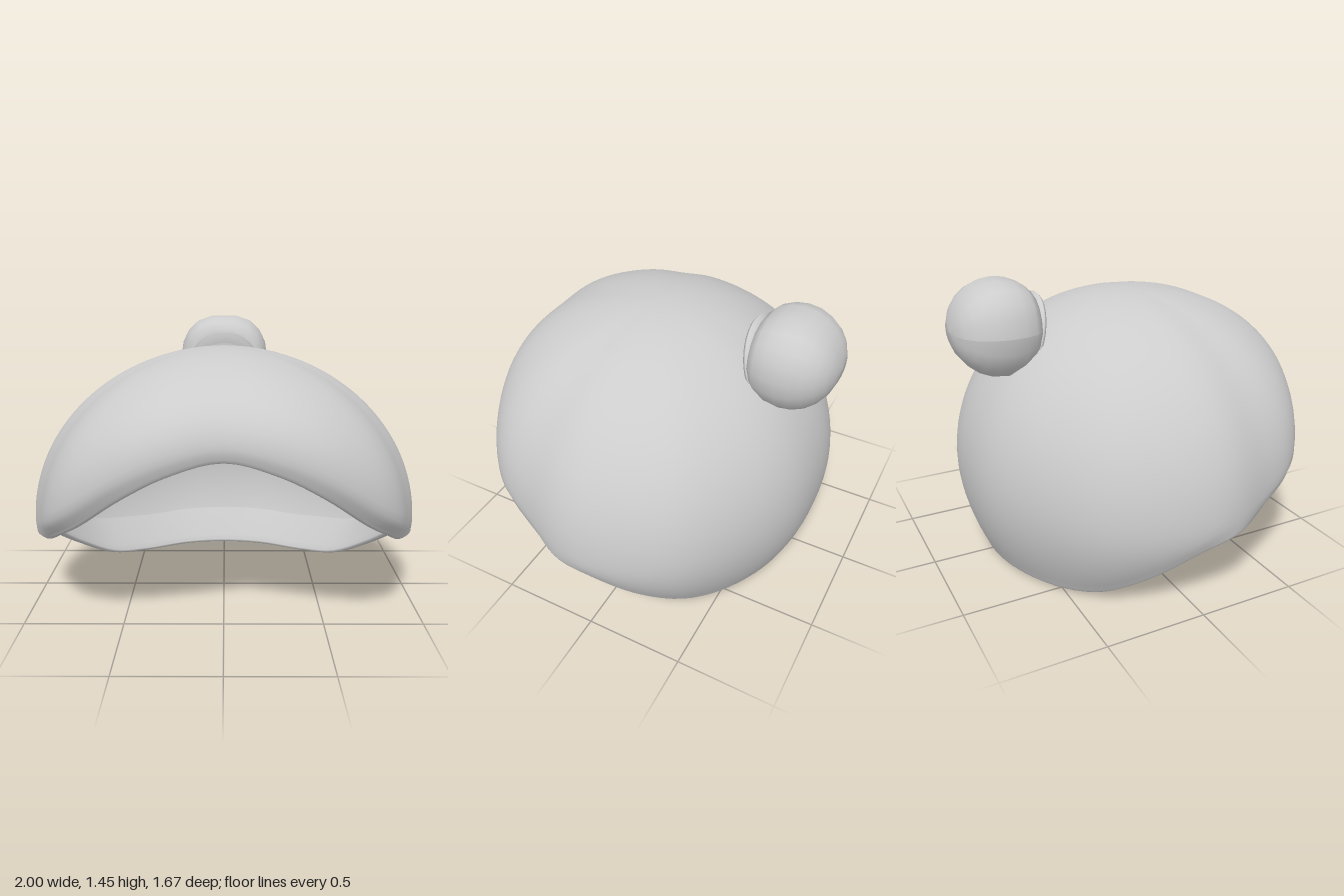
import * as THREE from 'three';

const V = (x, y, z) => new THREE.Vector3(x, y, z);

// Half outlines from front centre, round the left side, to back centre.
// Widest line of the cap:
const WIDEST = [
  [0, 0.96, 0.815], [0.25, 0.92, 0.83], [0.48, 0.82, 0.8], [0.72, 0.66, 0.695],
  [0.84, 0.56, 0.575], [0.92, 0.48, 0.38], [0.99, 0.44, 0.18], [0.995, 0.42, 0.02],
  [0.925, 0.42, -0.23], [0.79, 0.44, -0.45], [0.5, 0.46, -0.67], [0.25, 0.46, -0.775], [0, 0.46, -0.8],
];
// Lower rim of the cap:
const RIM = [
  [0, 0.925, 0.805], [0.25, 0.865, 0.815], [0.46, 0.755, 0.78], [0.69, 0.585, 0.665],
  [0.81, 0.5, 0.545], [0.9, 0.42, 0.37], [0.985, 0.38, 0.18], [0.965, 0.32, 0],
  [0.86, 0.185, -0.2], [0.69, 0.06, -0.38], [0.5, 0.022, -0.53], [0.25, 0.02, -0.655], [0, 0.02, -0.695],
];
const APEX = V(0, 1.34, 0.1);

// Mirror a half outline into a closed smooth loop
function loop(half) {
  const mirrored = half.slice(1, -1).reverse().map(([x, y, z]) => [-x, y, z]);
  return new THREE.CatmullRomCurve3([...half, ...mirrored].map(p => V(...p)), true);
}

// Line from the apex over the widest point down to the rim
function meridian(e, r) {
  const curve = new THREE.Curve();
  curve.getPoint = (t, target = V(0, 0, 0)) => {
    if (t < 0.75) {
      const a = (t / 0.75) * Math.PI / 2, s = Math.sin(a);
      return target.set(
        APEX.x + (e.x - APEX.x) * s,
        e.y + (APEX.y - e.y) * Math.cos(a),
        APEX.z + (e.z - APEX.z) * s);
    }
    const u = (t - 0.75) / 0.25;
    return target.set(
      e.x + (r.x - e.x) * u * u,
      e.y + (r.y - e.y) * u,
      e.z + (r.z - e.z) * u * u);
  };
  return curve;
}

// Shell, rolled rim and inner lip as one grid of rows and columns
function capGeometry() {
  const cols = 110, shellRows = 36, rollRows = 6, lipRows = 6, width = 0.045, lip = 0.2;
  const widest = loop(WIDEST), rim = loop(RIM);
  const positions = [], index = [];
  let rows = 0;
  for (let j = 0; j < cols; j++) {
    const e = widest.getPoint(j / cols), r = rim.getPoint(j / cols);
    const line = meridian(e, r), length = line.getLength();
    const inward = V(-r.x, 0, 0.05 - r.z).normalize();
    const column = [];
    for (let i = 0; i <= shellRows; i++) column.push(line.getPointAt(i / shellRows));
    // rounded edge
    for (let i = 1; i <= rollRows; i++) {
      const a = (i / rollRows) * Math.PI;
      const p = r.clone().addScaledVector(inward, width * (1 - Math.cos(a)) / 2);
      p.y -= 0.02 * Math.sin(a);
      column.push(p);
    }
    // lip running back up inside, closing in on the shell
    for (let i = 1; i <= lipRows; i++) {
      const k = i / lipRows;
      const p = line.getPointAt(1 - lip * k / length);
      column.push(p.addScaledVector(inward, width * (1 - 0.6 * k * k)));
    }
    rows = column.length;
    column.forEach(p => positions.push(p.x, p.y, p.z));
  }
  for (let j = 0; j < cols; j++) {
    const here = j * rows, next = ((j + 1) % cols) * rows;
    for (let i = 0; i < rows - 1; i++) {
      if (i > 0) index.push(here + i, here + i + 1, next + i);
      index.push(here + i + 1, next + i + 1, next + i);
    }
  }
  const geometry = new THREE.BufferGeometry();
  geometry.setAttribute('position', new THREE.Float32BufferAttribute(positions, 3));
  geometry.setIndex(index);
  geometry.computeVertexNormals();
  // one shared upright normal where all columns meet
  for (let j = 0; j < cols; j++) geometry.attributes.normal.setXYZ(j * rows, 0, 1, 0);
  return geometry;
}

// Round ball, fuller sideways and flattened where it faces the tie
function ballGeometry() {
  const geometry = new THREE.SphereGeometry(1, 18, 12);
  geometry.rotateX(Math.PI / 2);
  const p = geometry.attributes.position;
  for (let i = 0; i < p.count; i++) {
    const x = p.getX(i);
    p.setX(i, Math.sign(x) * Math.abs(x) ** 0.75);
    p.setZ(i, Math.min(p.getZ(i), 0.66));
  }
  geometry.scale(0.255, 0.238, 0.24);
  geometry.computeVertexNormals();
  return geometry;
}

// Thin flared band in front of the ball
function tieGeometry() {
  const profile = [[0.2, -0.04], [0.18, -0.015], [0.18, 0], [0.205, 0.01], [0.195, 0.025], [0.15, 0.03]];
  const geometry = new THREE.LatheGeometry(profile.map(([r, y]) => new THREE.Vector2(r, y)), 32);
  geometry.rotateX(Math.PI / 2);
  return geometry;
}

export function createModel() {
  const group = new THREE.Group();
  const grey = new THREE.MeshStandardMaterial({ color: 0xcccccc });
  grey.name = 'light grey';
  grey.side = THREE.DoubleSide;

  const add = (name, geometry, x = 0, y = 0, z = 0) => {
    const mesh = new THREE.Mesh(geometry, grey);
    mesh.name = name;
    mesh.position.set(x, y, z);
    group.add(mesh);
    return mesh;
  };

  add('cap', capGeometry());
  add('ball', ballGeometry(), 0, 1.213, -0.595);
  add('tie', tieGeometry(), 0, 1.17, -0.455).rotation.x = 0.25;
  return group;
}
